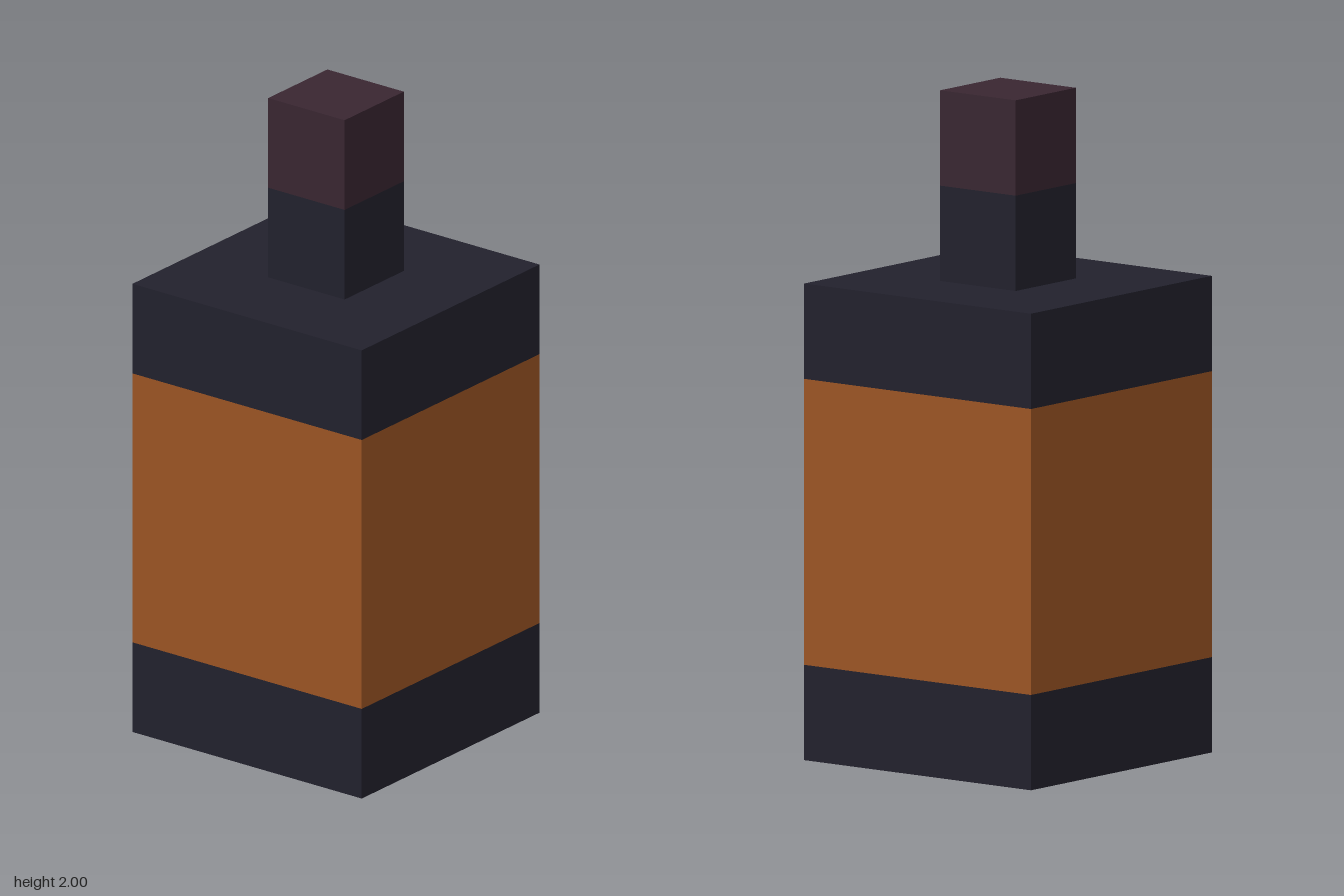
import * as THREE from 'three';

const U = 1 / 7; // one block unit
const dark = 0x22212d, amber = 0x9d5524, plum = 0x392631;

// Square block from level y0 to y1, keeping only the end faces that are exposed
function block(name, width, y0, y1, color, top, bottom) {
  const geometry = new THREE.BoxGeometry(width * U, (y1 - y0) * U, width * U);
  const faces = [0, 1, 4, 5];
  if (top) faces.push(2);
  if (bottom) faces.push(3);
  const all = Array.from(geometry.index.array);
  geometry.setIndex(faces.flatMap((f) => all.slice(f * 6, f * 6 + 6)));
  geometry.clearGroups();
  const material = new THREE.MeshStandardMaterial({ color });
  const mesh = new THREE.Mesh(geometry, material);
  mesh.name = name;
  mesh.position.y = ((y0 + y1) / 2) * U;
  return mesh;
}

export function createModel() {
  const bottle = new THREE.Group();
  bottle.name = 'bottle';
  bottle.add(
    // Body: base, coloured band and shoulder
    block('base', 6, 0, 2, dark, false, true),
    block('labelBand', 6, 2, 8, amber, false, false),
    block('shoulder', 6, 8, 10, dark, true, false),
    // Neck and its stopper
    block('neck', 2, 10, 12, dark, false, false),
    block('stopper', 2, 12, 14, plum, true, false),
  );
  return bottle;
}
